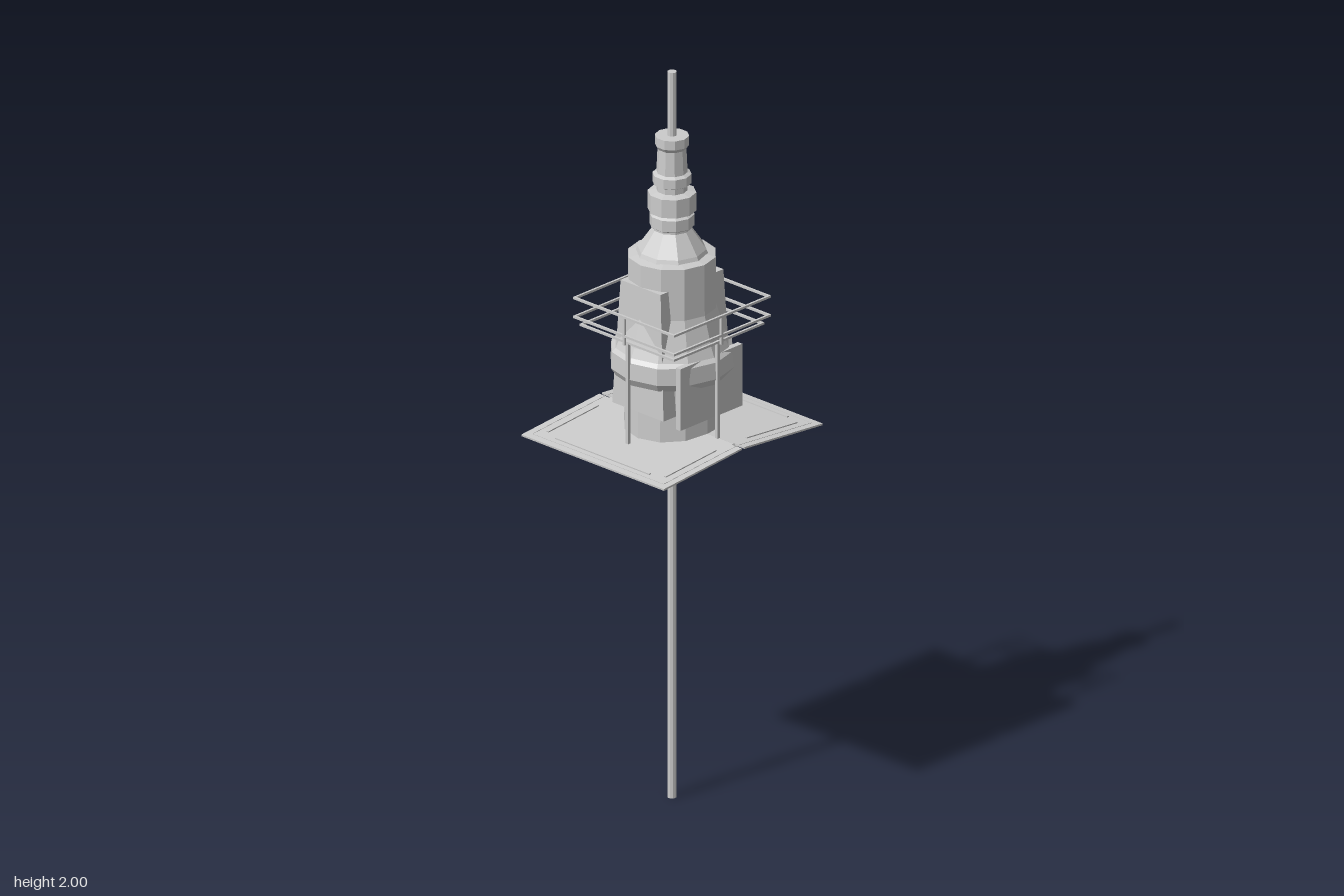
import * as THREE from 'three';

export function createModel() {
  const model = new THREE.Group();
  const mat = new THREE.MeshStandardMaterial({ color: 0xcccccc, flatShading: true, side: THREE.DoubleSide });

  const add = (name, geo, parent = model) => {
    const mesh = new THREE.Mesh(geo, mat);
    mesh.name = name;
    parent.add(mesh);
    return mesh;
  };
  const box = (name, w, h, d, x, y, z, parent) => {
    const mesh = add(name, new THREE.BoxGeometry(w, h, d), parent);
    mesh.position.set(x, y, z);
    return mesh;
  };
  const lathe = (name, sides, pts) =>
    add(name, new THREE.LatheGeometry(pts.map(([r, y]) => new THREE.Vector2(r, y)), sides));

  // Square ring of thin bars
  const squareFrame = (name, half, y, t) => {
    const g = new THREE.Group();
    g.name = name;
    for (const s of [-1, 1]) {
      box(name + 'Bar', 2 * half, t, t, 0, y, s * (half - t / 2), g);
      box(name + 'Bar', t, t, 2 * half - 2 * t, s * (half - t / 2), y, 0, g);
    }
    model.add(g);
  };

  // Pole running through the whole lamp
  add('pole', new THREE.CylinderGeometry(0.012, 0.012, 2, 10)).position.y = 1;

  // Main housing with its bevelled collar
  lathe('housing', 12, [
    [0, 1.015], [0.125, 1.015], [0.122, 1.17], [0.148, 1.18], [0.16, 1.2],
    [0.158, 1.245], [0.148, 1.255], [0.138, 1.28], [0.115, 1.36], [0.114, 1.5], [0.09, 1.505], [0, 1.505],
  ]);

  // Conical shoulder and stepped neck
  lathe('neck', 10, [
    [0.094, 1.5], [0.088, 1.515], [0.05, 1.57], [0.05, 1.575], [0.058, 1.58], [0.058, 1.61],
    [0.05, 1.615], [0.062, 1.62], [0.062, 1.67], [0.04, 1.675], [0.04, 1.69], [0.05, 1.695],
    [0.05, 1.72], [0.04, 1.725], [0.037, 1.79], [0.044, 1.8], [0.044, 1.825], [0, 1.825],
  ]);

  // Tapered side blocks, wider at the bottom
  for (const s of [-1, 1]) {
    const geo = new THREE.BoxGeometry(0.055, 0.34, 0.18);
    const p = geo.attributes.position;
    for (let i = 0; i < p.count; i++) {
      if (p.getY(i) > 0) {
        p.setZ(i, p.getZ(i) * 0.78);
        if (p.getX(i) * s > 0) p.setX(i, p.getX(i) - s * 0.01);
      }
    }
    geo.computeVertexNormals();
    add('sideBlock', geo).position.set(s * 0.097, 1.27, 0);
  }

  // Front panel, cut through by the collar
  box('frontPanel', 0.226, 0.17, 0.016, 0, 1.17, 0.13);
  box('panelBacking', 0.17, 0.14, 0.03, 0, 1.165, 0.112);

  // Guard cage: square rails, upper posts and legs at the middle of each side
  for (const y of [1.377, 1.325]) squareFrame('cageRail', 0.177, y, 0.006);
  squareFrame('innerCageRail', 0.165, 1.303, 0.006);
  squareFrame('baseFrame', 0.177, 1.005, 0.01);
  squareFrame('innerBaseFrame', 0.16, 1.007, 0.006);
  for (let i = 0; i < 4; i++) {
    const a = i * Math.PI / 2, dx = Math.round(Math.sin(a)), dz = Math.round(Math.cos(a));
    box('cagePost', 0.007, 0.08, 0.007, dx * 0.174, 1.34, dz * 0.174);
    box('cageLeg', 0.009, 0.305, 0.009, dx * 0.16, 1.152, dz * 0.16);
    box('legFoot', dx ? 0.03 : 0.01, 0.008, dz ? 0.03 : 0.01, dx * 0.163, 1.005, dz * 0.163);
  }

  // Two sloping roof panels, notched at the ridge ends, with ribs
  for (const s of [-1, 1]) {
    const half = new THREE.Group();
    half.name = s > 0 ? 'leftRoofPanel' : 'rightRoofPanel';
    const shape = new THREE.Shape([
      [0, -0.215], [0.005, -0.215], [0.005, -0.25], [0.29, -0.25],
      [0.29, 0.25], [0.005, 0.25], [0.005, 0.215], [0, 0.215],
    ].map(([x, z]) => new THREE.Vector2(x * s, z)));
    const sheet = new THREE.ExtrudeGeometry(shape, { depth: 0.005, bevelEnabled: false });
    sheet.rotateX(-Math.PI / 2);
    add('roofSheet', sheet, half);
    for (const e of [-1, 1]) {
      box('longRib', 0.185, 0.004, 0.007, s * 0.1475, 0.006, e * 0.206, half);
      box('edgeLine', 0.265, 0.002, 0.002, s * 0.1375, 0.005, e * 0.23, half);
    }
    box('sideRib', 0.007, 0.004, 0.33, s * 0.252, 0.006, 0, half);
    box('sideEdgeLine', 0.002, 0.002, 0.46, s * 0.27, 0.005, 0, half);
    half.position.y = 1.033;
    half.rotation.z = -s * 0.083;
    model.add(half);
  }

  return model;
}
